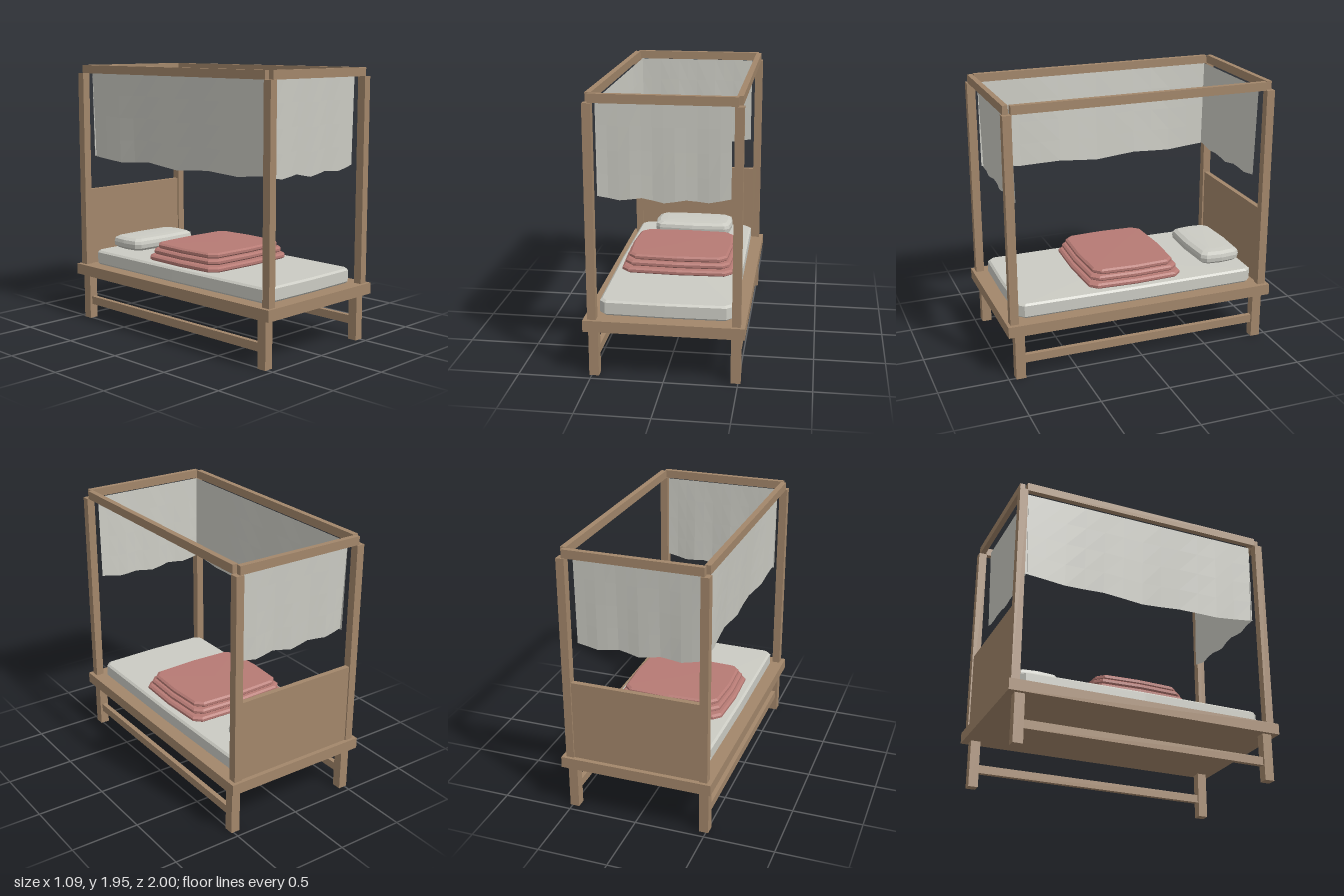
import * as THREE from 'three';

const mat = (name, color) => {
  const m = new THREE.MeshStandardMaterial({ color });
  m.name = name;
  m.flatShading = true;
  return m;
};

export function createModel() {
  const bed = new THREE.Group();
  bed.name = 'canopyBed';
  const wood = mat('wood', 0xa2866a);
  const linen = mat('linen', 0xcbcbc3);
  const rose = mat('roseBlanket', 0xb67a74);
  const drape = linen.clone();
  drape.name = 'curtainCloth';
  drape.side = THREE.DoubleSide;

  const add = (name, geometry, material) => {
    const mesh = new THREE.Mesh(geometry, material);
    mesh.name = name;
    bed.add(mesh);
    return mesh;
  };

  // Box given by its minimum and maximum corners
  const beam = (name, x0, x1, y0, y1, z0, z1) => {
    const g = new THREE.BoxGeometry(x1 - x0, y1 - y0, z1 - z0);
    add(name, g.translate((x0 + x1) / 2, (y0 + y1) / 2, (z0 + z1) / 2), wood);
  };

  // Soft slab: a bowed, corner-cut outline stacked in rows of [y, inset]
  const cushion = (name, material, hx, hz, cut, bow, rows, top) => {
    const q = [[hx, 0], [hx - bow, hz - bow - cut], [hx - bow - cut, hz - bow], [0, hz]];
    const outline = [
      ...q,
      [-q[2][0], q[2][1]], [-q[1][0], q[1][1]], [-hx, 0],
      [-q[1][0], -q[1][1]], [-q[2][0], -q[2][1]], [0, -hz],
      [q[2][0], -q[2][1]], [q[1][0], -q[1][1]],
    ];
    const n = outline.length, pos = [], idx = [];
    for (const [y, inset] of rows)
      for (const [x, z] of outline) pos.push(x * (1 - inset / hx), y, z * (1 - inset / hz));
    const low = rows.length * n, high = low + 1, last = (rows.length - 1) * n;
    pos.push(0, rows[0][0], 0, 0, top, 0);
    for (let i = 0; i < n; i++) {
      const j = (i + 1) % n;
      for (let r = 0; r < rows.length - 1; r++) {
        const a = r * n + i, b = r * n + j;
        idx.push(a, a + n, b, b, a + n, b + n);
      }
      idx.push(low, i, j, high, last + j, last + i);
    }
    const g = new THREE.BufferGeometry();
    g.setAttribute('position', new THREE.Float32BufferAttribute(pos, 3));
    g.setIndex(idx);
    const flat = g.toNonIndexed();
    flat.computeVertexNormals();
    return add(name, flat, material);
  };

  // Platform, legs, stretchers and posts
  beam('platform', -0.545, 0.545, 0.34, 0.42, -1, 1);
  for (const s of [-1, 1]) {
    const side = s > 0 ? 'left' : 'right';
    const span = (a, b) => (s > 0 ? [a, b] : [-b, -a]);
    beam(side + 'Stretcher', ...span(0.465, 0.5), 0.11, 0.17, -0.88, 0.88);
    beam(side + 'TopRail', ...span(0.465, 0.505), 1.89, 1.95, -0.92, 0.92);
    for (const e of [-1, 1]) {
      const end = e > 0 ? 'Front' : 'Back';
      const zs = (a, b) => (e > 0 ? [a, b] : [-b, -a]);
      beam(side + end + 'Leg', ...span(0.45, 0.517), 0, 0.34, ...zs(0.88, 0.95));
      beam(side + end + 'Post', ...span(0.457, 0.515), 0.42, 1.89, ...zs(0.918, 0.978));
    }
  }
  beam('frontTopRail', -0.48, 0.48, 1.89, 1.95, 0.93, 0.968);
  beam('backTopRail', -0.48, 0.48, 1.89, 1.95, -0.968, -0.93);
  beam('headboard', -0.457, 0.457, 0.42, 1.0, -0.968, -0.93);

  // Mattress and pillow
  cushion('mattress', linen, 0.46, 0.905, 0.04, 0.008,
    [[0.422, 0.012], [0.435, 0], [0.515, 0], [0.528, 0.015]], 0.53);
  cushion('pillow', linen, 0.31, 0.168, 0.035, 0.012,
    [[0.535, 0.03], [0.555, 0.004], [0.585, 0], [0.61, 0.006], [0.626, 0.035], [0.63, 0.09]], 0.632)
    .position.z = -0.722;

  // Folded blanket in three shrinking layers
  [[0.53, 0.415, 0.367], [0.577, 0.393, 0.345], [0.618, 0.372, 0.322]].forEach(([y, hx, hz], i) => {
    cushion('blanketLayer' + (i + 1), rose, hx, hz, 0.05, 0.014,
      [[y, 0.012], [y + 0.01, 0], [y + 0.027, 0], [y + 0.038, 0.015]], y + 0.039);
  });

  // Hanging cloth: the local -z side swings inwards towards the hem
  const curtain = (name, width, lean, sag, phase) => {
    const g = new THREE.PlaneGeometry(width, 1, 12, 4);
    const p = g.attributes.position;
    const hem = [1.26, 1.235, 1.255, 1.225, 1.25, 1.238, 1.27];
    for (let i = 0; i < p.count; i++) {
      const u = p.getX(i) / width + 0.5, t = 0.5 - p.getY(i);
      const k = Math.min(5, Math.floor(u * 6));
      const bottom = THREE.MathUtils.lerp(hem[k], hem[k + 1], u * 6 - k);
      p.setY(i, THREE.MathUtils.lerp(1.895, bottom, t));
      p.setZ(i, -t * (lean + sag * Math.sin(Math.PI * u) + 0.005 * Math.sin(u * 19 + phase)));
    }
    g.computeVertexNormals();
    return add(name, g, drape);
  };
  curtain('frontCurtain', 0.88, 0.012, 0.006, 0).position.set(-0.005, 0, 0.903);
  const back = curtain('backCurtain', 0.88, 0.012, 0.006, 1);
  back.position.set(-0.005, 0, -0.893);
  back.rotation.y = Math.PI;
  const side = curtain('rightCurtain', 1.8, 0.006, 0.03, 2);
  side.position.set(-0.445, 0, 0.005);
  side.rotation.y = -Math.PI / 2;

  return bed;
}
